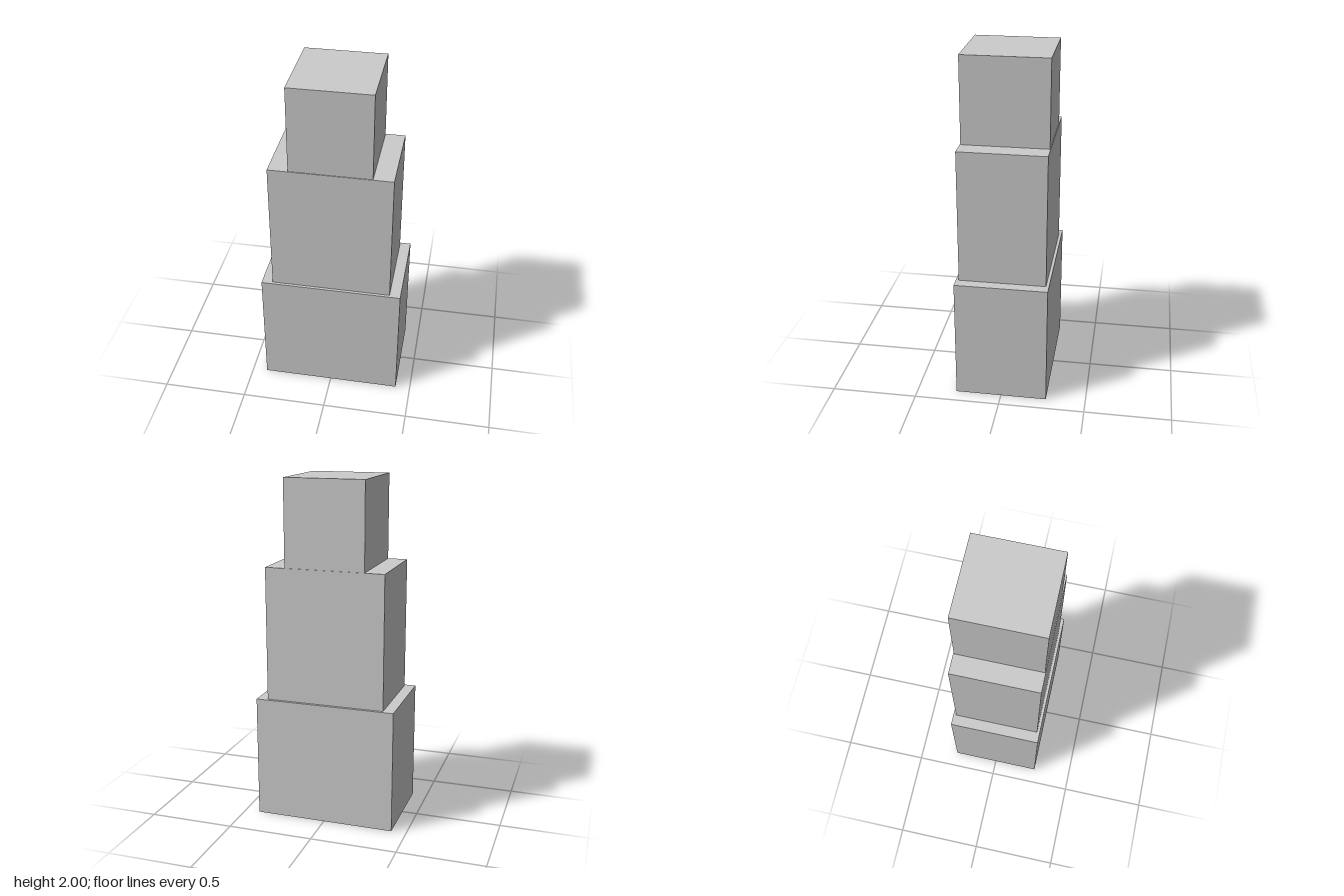
import * as THREE from 'three';

// Stacked tiers: name, width, depth, bottom, top
const TIERS = [
  ['lowerTier', 0.824, 0.536, 0, 0.72],
  ['middleTier', 0.696, 0.502, 0.72, 1.5],
  ['upperTier', 0.466, 0.494, 1.5, 2],
];

export function createModel() {
  const tower = new THREE.Group();
  tower.name = 'steppedTower';
  const material = new THREE.MeshStandardMaterial({ color: 0xcccccc, flatShading: true });

  for (const [name, width, depth, bottom, top] of TIERS) {
    const tier = new THREE.Mesh(new THREE.BoxGeometry(width, top - bottom, depth), material);
    tier.name = name;
    tier.position.y = (bottom + top) / 2;
    tower.add(tier);
  }
  return tower;
}
